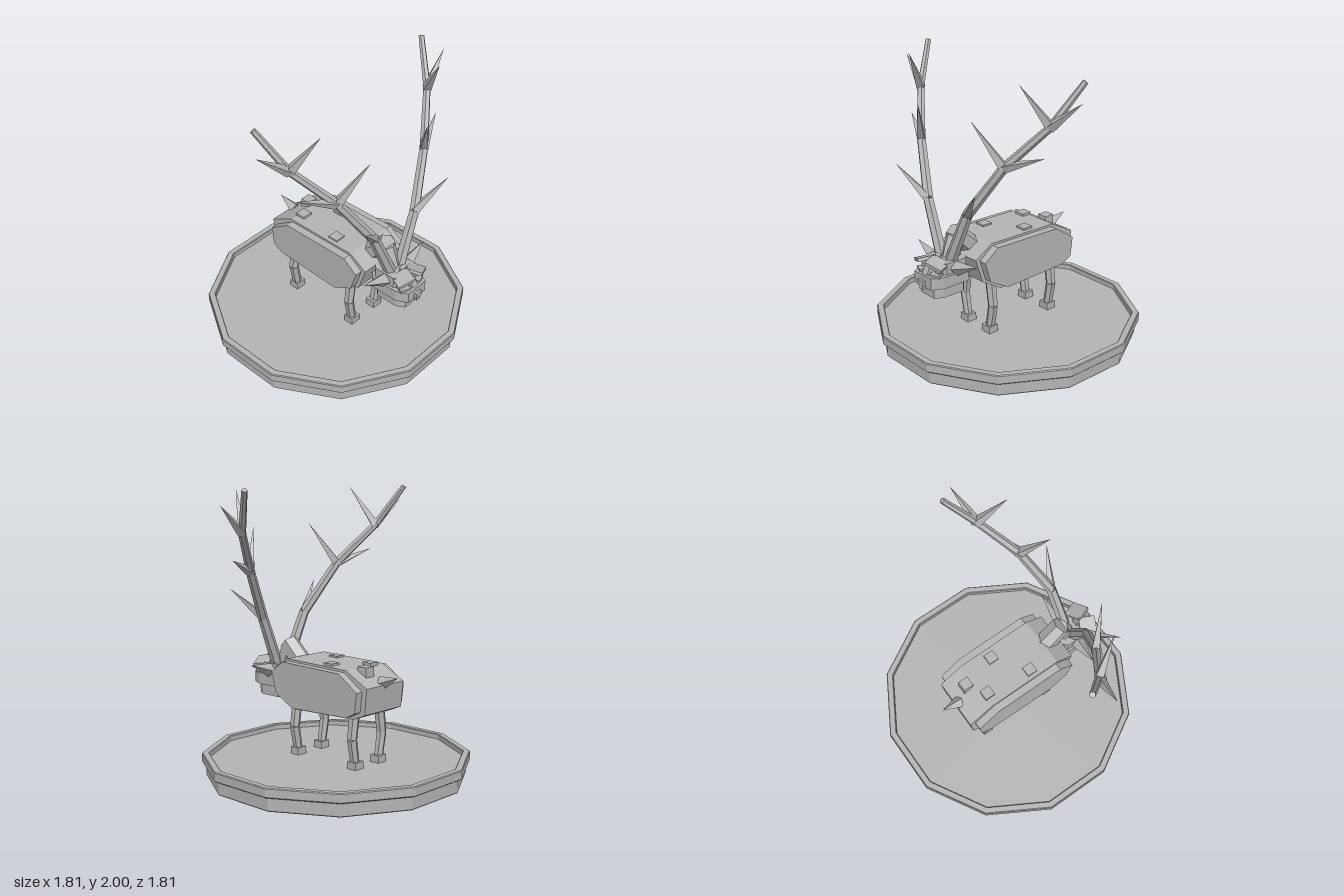
import * as THREE from 'three';

const stone = new THREE.MeshStandardMaterial({ color: 0xb4b4b4, flatShading: true });
stone.name = 'stone grey';

const V = (x, y, z) => new THREE.Vector3(x, y, z);

function add(parent, name, geometry) {
  const mesh = new THREE.Mesh(geometry, stone);
  mesh.name = name;
  parent.add(mesh);
  return mesh;
}

function box(parent, name, size, pos, rot = [0, 0, 0]) {
  const mesh = add(parent, name, new THREE.BoxGeometry(...size));
  mesh.position.set(...pos);
  mesh.rotation.set(...rot);
  return mesh;
}

// Faceted rod or spike from a to b
function rod(parent, name, a, b, r0, r1, sides = 6) {
  const d = b.clone().sub(a);
  const mesh = add(parent, name, new THREE.CylinderGeometry(r1, r0, d.length(), sides));
  mesh.position.copy(a).addScaledVector(d, 0.5);
  mesh.quaternion.setFromUnitVectors(V(0, 1, 0), d.normalize());
  return mesh;
}

// Side outline of [z, y] pairs, extruded across x
function sideSlab(parent, name, outline, x0, x1) {
  const shape = new THREE.Shape(outline.map(([z, y]) => new THREE.Vector2(-z, y)));
  const geo = new THREE.ExtrudeGeometry(shape, { depth: x1 - x0, bevelEnabled: false });
  geo.rotateY(Math.PI / 2).translate(x0, 0, 0);
  return add(parent, name, geo);
}

// Half plan outline of [x, z] pairs, mirrored and extruded up y
function planSlab(parent, name, half, y0, y1) {
  const all = [...half, ...half.slice().reverse().map(([x, z]) => [-x, z])];
  const shape = new THREE.Shape(all.map(([x, z]) => new THREE.Vector2(x, -z)));
  const geo = new THREE.ExtrudeGeometry(shape, { depth: y1 - y0, bevelEnabled: false });
  geo.rotateX(-Math.PI / 2).translate(0, y0, 0);
  return add(parent, name, geo);
}

function buildBase(model) {
  // Twelve-sided plinth with a raised rim around a sunken floor
  const k = 1 / Math.cos(Math.PI / 12);
  const profile = [
    [0, 0], [0.875, 0], [0.88, 0.006], [0.88, 0.095], [0.9, 0.095], [0.907, 0.102],
    [0.907, 0.157], [0.902, 0.163], [0.863, 0.163], [0.858, 0.158], [0.858, 0.125], [0, 0.125],
  ].map(([r, y]) => new THREE.Vector2(r * k, y));
  add(model, 'base', new THREE.LatheGeometry(profile, 12, Math.PI / 12));
}

function buildBody(model) {
  const body = new THREE.Group();
  body.name = 'body';
  model.add(body);
  sideSlab(body, 'torso', [
    [0.3, 0.812], [-0.26, 0.803], [-0.445, 0.705], [-0.428, 0.525],
    [-0.33, 0.483], [0.22, 0.462], [0.38, 0.557], [0.435, 0.727],
  ], -0.185, 0.185);
  const flank = [
    [0.29, 0.797], [-0.245, 0.787], [-0.405, 0.68], [-0.388, 0.54],
    [-0.31, 0.5], [0.2, 0.482], [0.355, 0.568], [0.4, 0.715],
  ];
  sideSlab(body, 'leftFlank', flank, 0.18, 0.24);
  sideSlab(body, 'rightFlank', flank, -0.24, -0.18);

  // Square bumps on the back
  for (const [x, z] of [[0.053, -0.318], [-0.089, -0.232], [0.112, -0.06], [-0.118, 0.11]]) {
    box(body, 'backBump', [0.076, 0.07, 0.076], [x, 0.786, z]);
  }
  rod(body, 'tail', V(0, 0.713, -0.41), V(0, 0.765, -0.553), 0.048, 0, 4);

  // Arched neck
  rod(body, 'lowerNeck', V(0, 0.745, 0.325), V(0, 0.885, 0.47), 0.076, 0.07);
  rod(body, 'upperNeck', V(0, 0.86, 0.455), V(0, 0.68, 0.52), 0.065, 0.065);

  // Bent legs standing on square hooves
  for (const s of [-1, 1]) for (const z of [0.26, -0.285]) {
    const leg = new THREE.Group();
    leg.name = z > 0 ? 'frontLeg' : 'backLeg';
    body.add(leg);
    const knee = V(s * 0.15, 0.33, z);
    rod(leg, 'thigh', V(s * 0.122, 0.53, z), knee, 0.038, 0.035);
    rod(leg, 'shin', knee, V(s * 0.12, 0.16, z), 0.035, 0.032);
    box(leg, 'hoof', [0.08, 0.055, 0.075], [s * 0.117, 0.148, z]);
  }
}

function buildHead(model) {
  const head = new THREE.Group();
  head.name = 'head';
  model.add(head);
  planSlab(head, 'upperLip', [
    [0.085, 0.412], [0.128, 0.45], [0.128, 0.655], [0.088, 0.737],
  ], 0.573, 0.655);
  planSlab(head, 'jaw', [
    [0.07, 0.447], [0.104, 0.48], [0.104, 0.64], [0.07, 0.7],
  ], 0.495, 0.58);
  planSlab(head, 'skull', [
    [0.075, 0.43], [0.11, 0.46], [0.11, 0.62], [0.075, 0.655],
  ], 0.64, 0.735);
  // Wedge-shaped bridge running down to the nose
  sideSlab(head, 'noseBridge', [
    [0.58, 0.65], [0.725, 0.65], [0.7, 0.7], [0.6, 0.77],
  ], -0.025, 0.025);
  box(head, 'nose', [0.056, 0.035, 0.04], [0, 0.602, 0.737]);
  box(head, 'noseTip', [0.034, 0.04, 0.028], [0, 0.575, 0.738]);

  for (const s of [-1, 1]) {
    box(head, 'eye', [0.04, 0.04, 0.03], [s * 0.073, 0.68, 0.66]);
    box(head, 'cheek', [0.075, 0.02, 0.07], [s * 0.07, 0.66, 0.675], [0, s * 0.4, 0]);
    box(head, 'brow', [0.125, 0.022, 0.12], [s * 0.065, 0.735, 0.665], [0.1, s * 0.4, -s * 0.38]);
    rod(head, 'ear', V(s * 0.115, 0.685, 0.545), V(s * 0.315, 0.75, 0.53), 0.052, 0, 4);
  }
}

function buildAntler(model, s) {
  const antler = new THREE.Group();
  antler.name = s > 0 ? 'leftAntler' : 'rightAntler';
  model.add(antler);
  const P = ([x, y, z]) => V(s * x, y, z);

  // Beam in four tapering stretches
  const nodes = [[0.05, 0.72, 0.54], [0.205, 1.08, 0.52], [0.425, 1.43, 0.4], [0.652, 1.71, 0.222], [0.775, 1.99, 0.055]];
  const radii = [0.042, 0.036, 0.031, 0.026, 0.02];
  for (let i = 0; i < 4; i++) {
    rod(antler, 'beam', P(nodes[i]), P(nodes[i + 1]), radii[i], radii[i + 1]);
  }
  // Pointed tines at each bend
  const tines = [
    [1, 0.415, 1.295, 0.625], [2, 0.68, 1.53, 0.29], [2, 0.27, 1.725, 0.535],
    [3, 0.875, 1.895, 0.175], [3, 0.55, 1.985, 0.39],
  ];
  for (const [i, ...tip] of tines) rod(antler, 'tine', P(nodes[i]), P(tip), 0.038, 0, 4);
}

export function createModel() {
  const model = new THREE.Group();
  model.name = 'antleredBeast';
  buildBase(model);
  buildBody(model);
  buildHead(model);
  for (const s of [-1, 1]) buildAntler(model, s);
  return model;
}
